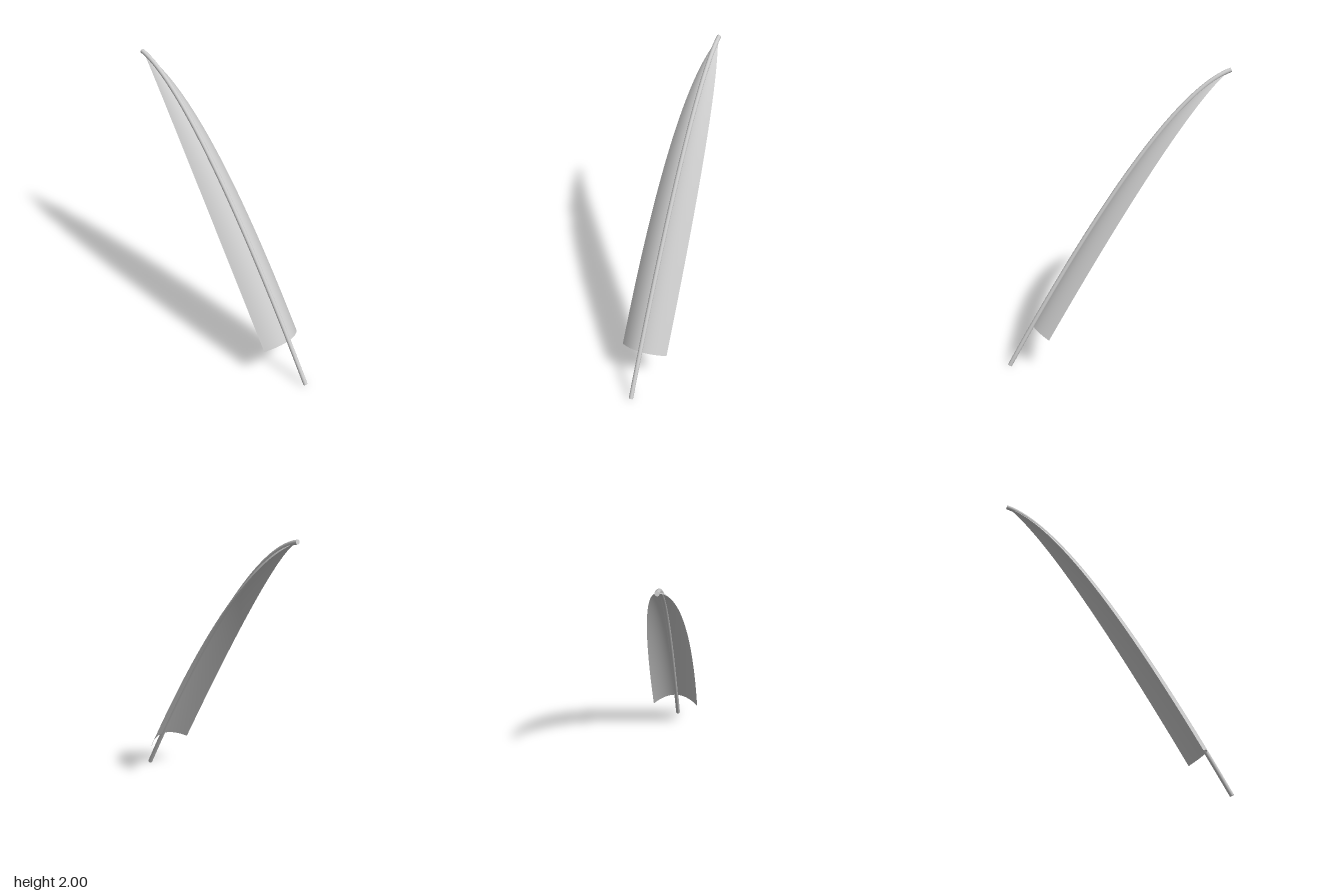
import * as THREE from 'three';

const RADIUS = 0.015;

// Centre line of the quill, leaning back and bending over at the tip
const spine = new THREE.QuadraticBezierCurve3(
  new THREE.Vector3(0, 0.008, 0.782),
  new THREE.Vector3(0, 1.858, -0.283),
  new THREE.Vector3(0, 1.985, -0.787)
);

// Curved blade: parabolic cross-sections swept along the spine, narrowing to a point
function vaneGeometry(rows = 48, cols = 24) {
  const geometry = new THREE.PlaneGeometry(1, 1, cols, rows);
  const position = geometry.attributes.position;
  for (let i = 0; i <= rows; i++) {
    const s = 1 - i / rows;
    const t = 0.08 + 0.9 * s;
    const centre = spine.getPoint(t);
    const tangent = spine.getTangent(t);
    const back = new THREE.Vector3(0, tangent.z, -tangent.y);
    const halfWidth = 0.162 * (1 - s * s);
    for (let j = 0; j <= cols; j++) {
      const u = (j / cols) * 2 - 1;
      const p = centre.clone().addScaledVector(back, 0.006 + 0.5 * halfWidth * u * u);
      position.setXYZ(i * (cols + 1) + j, u * halfWidth, p.y, p.z);
    }
  }
  geometry.computeVertexNormals();
  return geometry;
}

export function createModel() {
  const group = new THREE.Group();
  group.name = 'feather';
  const solid = new THREE.MeshStandardMaterial({ color: 0xcccccc });
  const thin = new THREE.MeshStandardMaterial({ color: 0xcccccc, side: THREE.DoubleSide });

  const add = (name, geometry, material) => {
    const mesh = new THREE.Mesh(geometry, material);
    mesh.name = name;
    group.add(mesh);
    return mesh;
  };

  // Quill shaft with flat ends
  add('shaft', new THREE.TubeGeometry(spine, 64, RADIUS, 16), solid);
  for (const [name, t, sign] of [['shaftBase', 0, -1], ['shaftTip', 1, 1]]) {
    const cap = add(name, new THREE.CircleGeometry(RADIUS, 16), solid);
    cap.position.copy(spine.getPoint(t));
    cap.lookAt(cap.position.clone().addScaledVector(spine.getTangent(t), sign));
  }

  // Thin vane on both sides of the shaft
  add('vane', vaneGeometry(), thin);
  return group;
}
